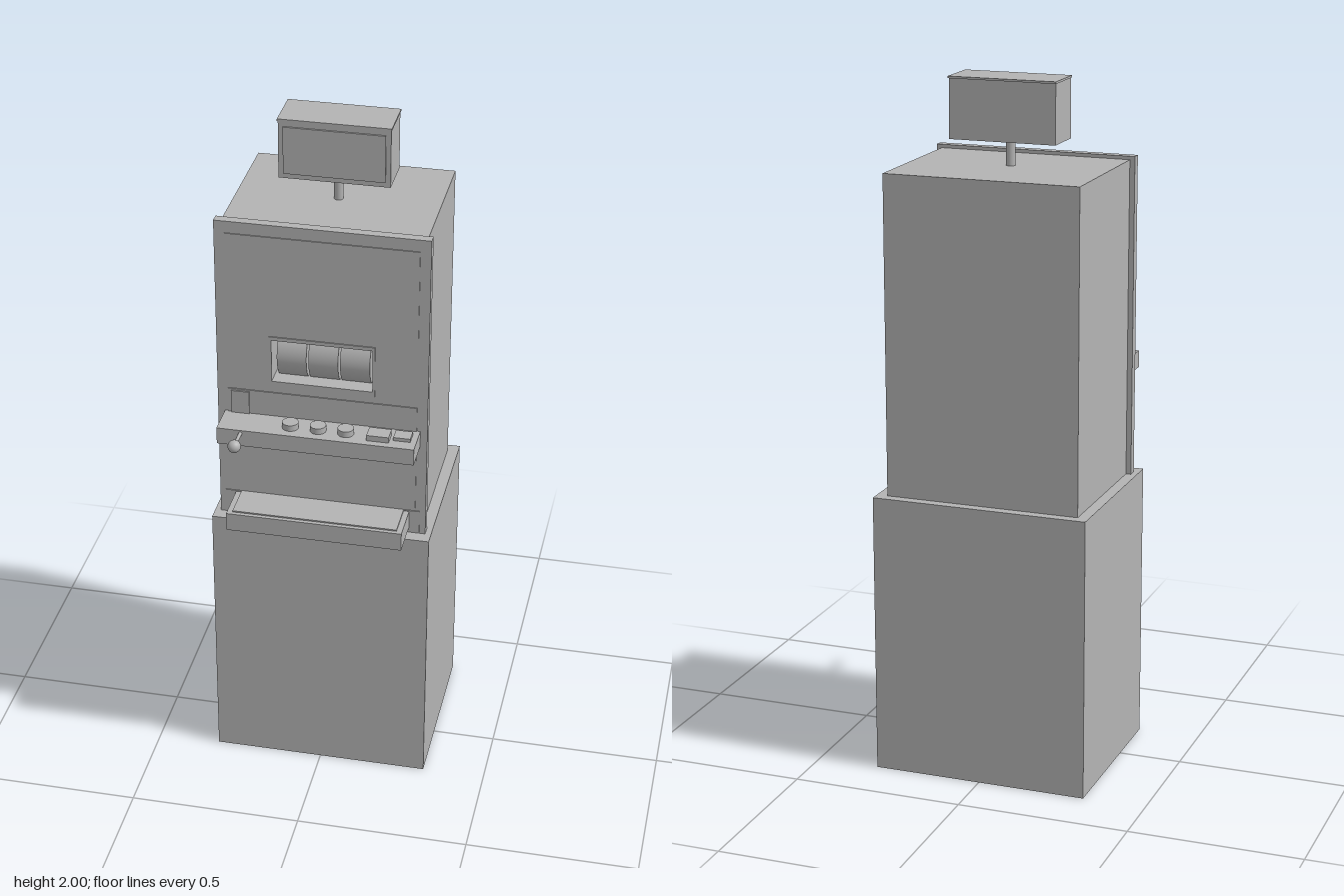
import * as THREE from 'three';

export function createModel() {
  const root = new THREE.Group();
  const grey = new THREE.MeshStandardMaterial({ color: 0xb3b3b3 });
  grey.name = 'grey';

  const add = (name, geo, x = 0, y = 0, z = 0) => {
    const m = new THREE.Mesh(geo, grey);
    m.name = name;
    m.position.set(x, y, z);
    root.add(m);
    return m;
  };
  // box given by its limits on each axis
  const box = (name, x0, x1, y0, y1, z0, z1) =>
    add(name, new THREE.BoxGeometry(x1 - x0, y1 - y0, z1 - z0),
      (x0 + x1) / 2, (y0 + y1) / 2, (z0 + z1) / 2);
  // slab facing the front with the reel window cut through it
  const rect = (Type, hw, y0, y1) => new Type([
    new THREE.Vector2(-hw, y0), new THREE.Vector2(hw, y0),
    new THREE.Vector2(hw, y1), new THREE.Vector2(-hw, y1)]);
  const windowed = (name, hw, y0, y1, z0, z1) => {
    const shape = rect(THREE.Shape, hw, y0, y1);
    shape.holes.push(rect(THREE.Path, 0.143, 1.277, 1.407));
    return add(name, new THREE.ExtrudeGeometry(shape, { depth: z1 - z0, bevelEnabled: false }), 0, 0, z0);
  };

  // pedestal and cabinet
  box('pedestal', -0.317, 0.317, 0, 0.825, -0.34, 0.188);
  box('cabinetBack', -0.285, 0.285, 0.825, 1.75, -0.31, -0.06);
  windowed('cabinetFront', 0.285, 0.825, 1.75, -0.06, 0.123);
  windowed('door', 0.3, 0.825, 1.76, 0.123, 0.15);

  // thin plates on the door
  box('upperGlass', -0.27, 0.27, 1.46, 1.725, 0.15, 0.153);
  windowed('reelFrame', 0.15, 1.262, 1.418, 0.15, 0.153);
  box('bellyPlate', -0.27, 0.27, 0.91, 1.24, 0.15, 0.153);
  box('kickPlate', -0.283, 0.283, 0.83, 0.9, 0.15, 0.153);
  box('billSlot', -0.26, -0.208, 1.165, 1.235, 0.15, 0.157);

  // reels
  for (const x of [-0.09, 0, 0.09]) {
    add('reel', new THREE.CylinderGeometry(0.085, 0.085, 0.084, 48), x, 1.342, 0.05)
      .rotation.z = Math.PI / 2;
  }

  // button deck
  box('buttonDeck', -0.28, 0.28, 1.115, 1.165, 0.15, 0.25);
  for (const x of [-0.079, 0, 0.079])
    add('roundButton', new THREE.CylinderGeometry(0.023, 0.023, 0.018, 32), x, 1.174, 0.203);
  box('squareButton', 0.142, 0.205, 1.165, 1.182, 0.183, 0.229);
  box('coinPlate', 0.215, 0.263, 1.165, 1.175, 0.172, 0.213);

  // lever
  add('leverRod', new THREE.CylinderGeometry(0.005, 0.005, 0.07, 16), -0.212, 1.155, 0.28)
    .rotation.x = Math.PI / 2;
  add('leverKnob', new THREE.SphereGeometry(0.0185, 24, 16), -0.212, 1.155, 0.319);

  // payout tray
  box('payoutTray', -0.253, 0.253, 0.842, 0.897, 0.15, 0.272);
  box('trayLiner', -0.237, 0.237, 0.897, 0.901, 0.153, 0.26);

  // sign on a post
  add('signPost', new THREE.CylinderGeometry(0.013, 0.013, 0.08, 24), 0, 1.788, -0.072);
  box('signBox', -0.156, 0.156, 1.825, 1.994, -0.14, -0.013);
  box('signCap', -0.158, 0.158, 1.994, 2, -0.144, -0.01);
  box('signFace', -0.142, 0.142, 1.84, 1.978, -0.013, -0.008);

  return root;
}
